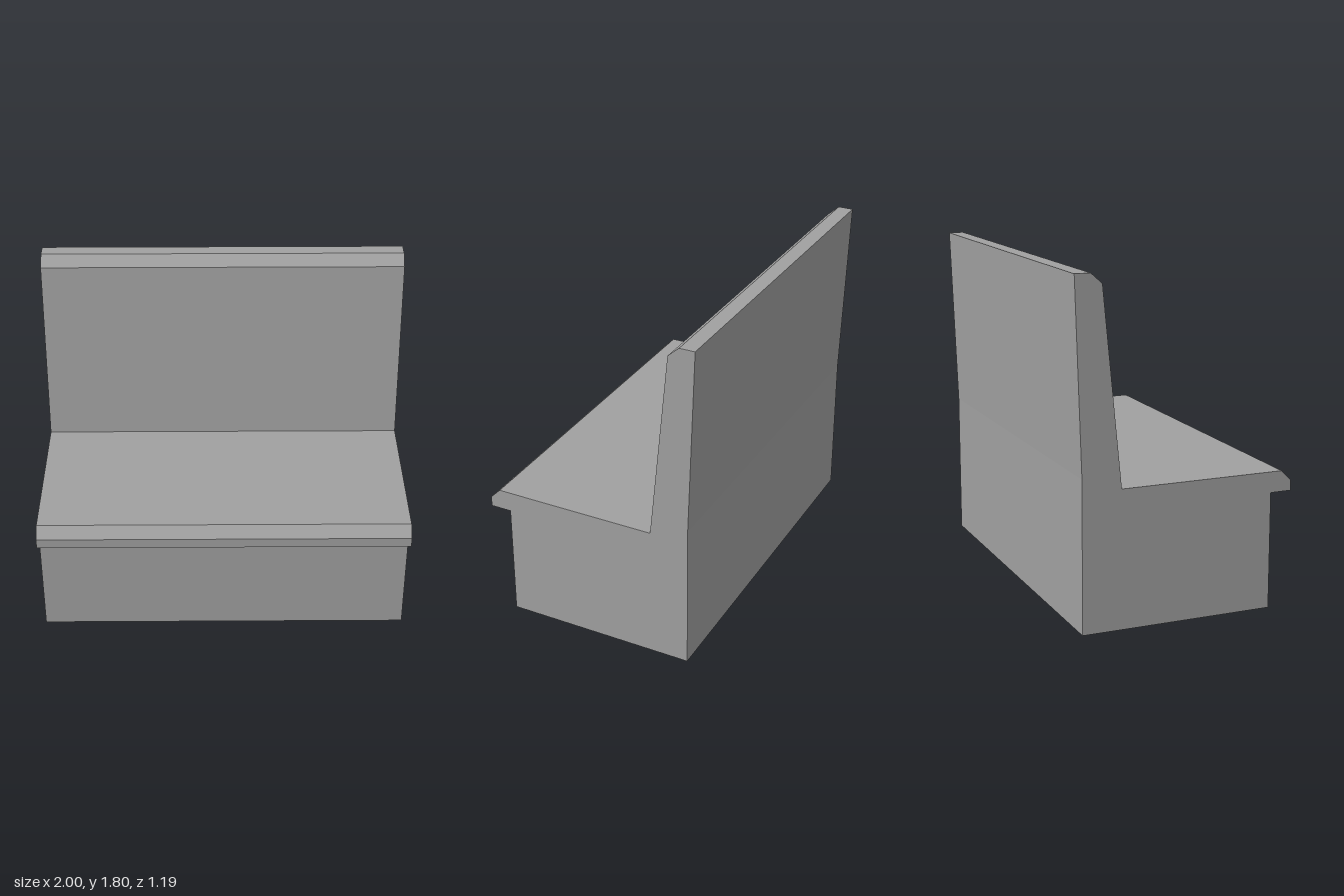
import * as THREE from 'three';

const WIDTH = 2;

export function createModel() {
  const group = new THREE.Group();
  group.name = 'benchSeat';

  const grey = new THREE.MeshStandardMaterial({ color: 0xa0a0a0 });
  grey.name = 'grey';

  // Side profile as [z, y], counter-clockwise from the lower back corner
  const profile = [
    [-0.56, 0], [0.48, 0],                     // plinth
    [0.48, 0.62], [0.595, 0.62],               // overhang of the seat lip
    [0.595, 0.675], [0.54, 0.73],              // bevelled seat edge
    [-0.35, 0.73],                             // seat meets backrest
    [-0.452, 1.747], [-0.512, 1.8],            // leaning back, bevelled top
    [-0.595, 1.8], [-0.56, 0.8],               // rear face
  ];
  const shape = new THREE.Shape(profile.map(([z, y]) => new THREE.Vector2(z, y)));

  // Sweep the profile across the full width, turning it to face +z
  const geometry = new THREE.ExtrudeGeometry(shape, { depth: WIDTH, bevelEnabled: false });
  geometry.translate(0, 0, -WIDTH / 2);
  geometry.rotateY(-Math.PI / 2);

  const bench = new THREE.Mesh(geometry, grey);
  bench.name = 'seatAndBackrest';
  group.add(bench);
  return group;
}
